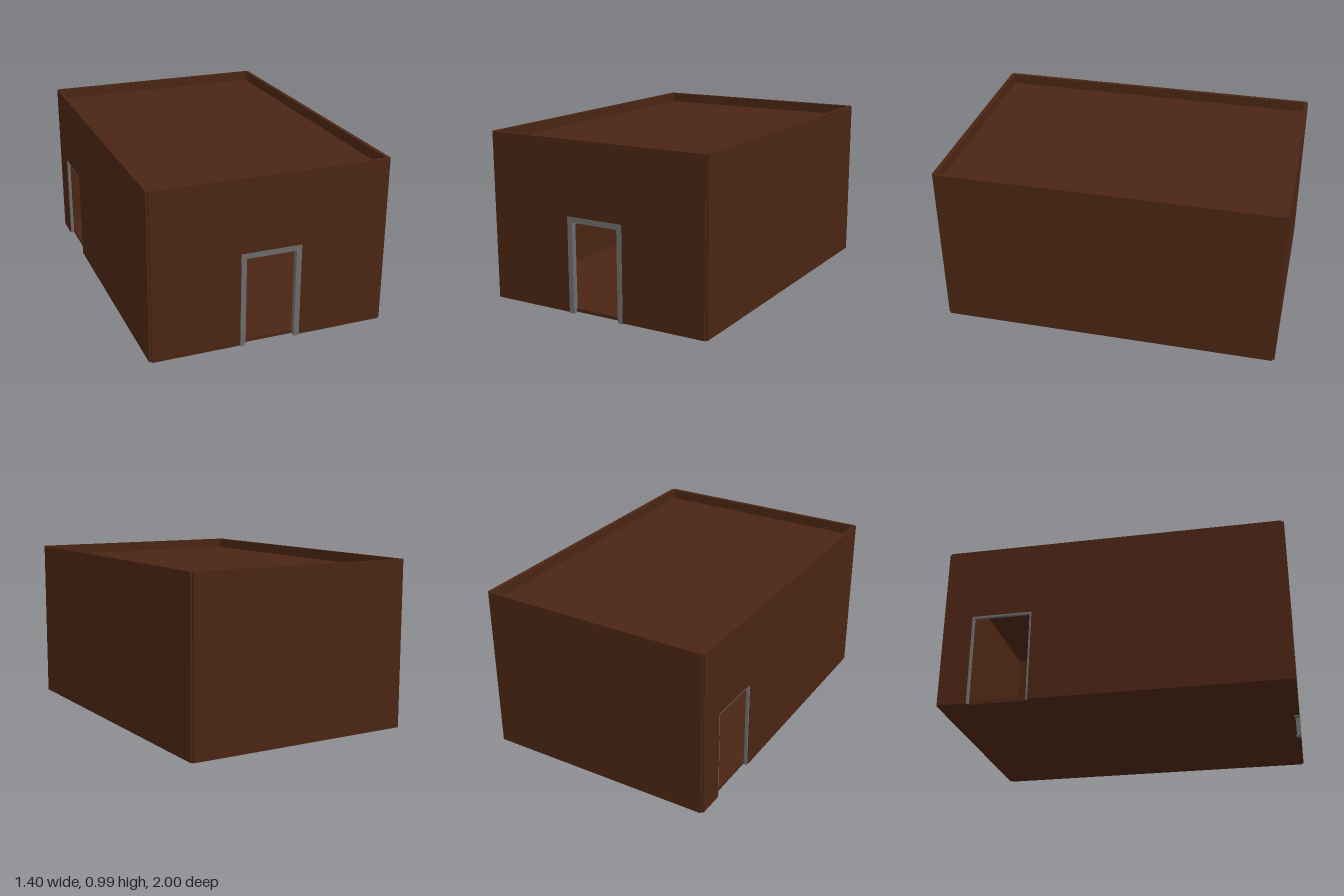
import * as THREE from 'three';

const brown = new THREE.MeshStandardMaterial({ color: 0x4a2513, flatShading: true });
const grey = new THREE.MeshStandardMaterial({ color: 0x6c6c6c, flatShading: true });

const BASE = 0.005, TOP = 0.99;   // wall bottom and parapet top
const HX = 0.7, HZ = 0.998;       // outer half sizes
const T = 0.024;                  // wall thickness

function box(name, w, h, d, x, y, z, material) {
  const mesh = new THREE.Mesh(new THREE.BoxGeometry(w, h, d), material);
  mesh.name = name;
  mesh.position.set(x, y, z);
  return mesh;
}

// Upright wall of half width hw facing +z, optionally with a doorway { at, half, top }
function wall(name, hw, door) {
  const pts = [[-hw, BASE]];
  if (door) {
    const a = door.at - door.half, b = door.at + door.half;
    pts.push([a, BASE], [a, door.top], [b, door.top], [b, BASE]);
  }
  pts.push([hw, BASE], [hw, TOP], [-hw, TOP]);
  const shape = new THREE.Shape(pts.map(([x, y]) => new THREE.Vector2(x, y)));
  const geo = new THREE.ExtrudeGeometry(shape, { depth: T, bevelEnabled: false });
  geo.translate(0, 0, -T);
  const mesh = new THREE.Mesh(geo, brown);
  mesh.name = name;
  return mesh;
}

// Two jambs and a lintel around a doorway facing +z
function doorFrame(name, half, bottom, top, bar, depth) {
  const g = new THREE.Group();
  g.name = name;
  for (const s of [-1, 1]) {
    g.add(box('jamb', bar, top - bottom, depth, s * (half - bar / 2), (top + bottom) / 2, 0, grey));
  }
  g.add(box('lintel', 2 * (half - bar), bar, depth, 0, top - bar / 2, 0, grey));
  return g;
}

export function createModel() {
  const model = new THREE.Group();
  model.name = 'building';

  // Front and back walls, a little short of the corners
  const front = wall('frontWall', HX - 0.012, { at: 0, half: 0.17, top: 0.55 });
  front.position.z = HZ;
  const back = wall('backWall', HX - 0.012);
  back.rotation.y = Math.PI;
  back.position.z = -HZ;

  // Long side walls, one with a second doorway near the back
  const left = wall('leftWall', HZ - 0.012);
  left.rotation.y = Math.PI / 2;
  left.position.x = HX;
  const right = wall('rightWall', HZ - 0.012, { at: -0.645, half: 0.178, top: 0.55 });
  right.rotation.y = -Math.PI / 2;
  right.position.x = -HX;
  model.add(front, back, left, right);

  // Floor and recessed flat roof
  const w = 2 * (HX - T), d = 2 * (HZ - T);
  model.add(box('floor', w, 0.02, d, 0, BASE + 0.01, 0, brown));
  model.add(box('roof', w, 0.024, d, 0, 0.918, 0, brown));

  // Front door frame, standing slightly below the walls
  const frontFrame = doorFrame('frontDoorFrame', 0.178, 0, 0.56, 0.031, 0.032);
  frontFrame.position.z = 0.984;
  model.add(frontFrame);

  // Slim side door frame set inside the wall opening
  const sideFrame = doorFrame('sideDoorFrame', 0.178, BASE, 0.55, 0.012, 0.018);
  sideFrame.rotation.y = -Math.PI / 2;
  sideFrame.position.set(-HX + 0.013, 0, -0.645);
  model.add(sideFrame);

  return model;
}
